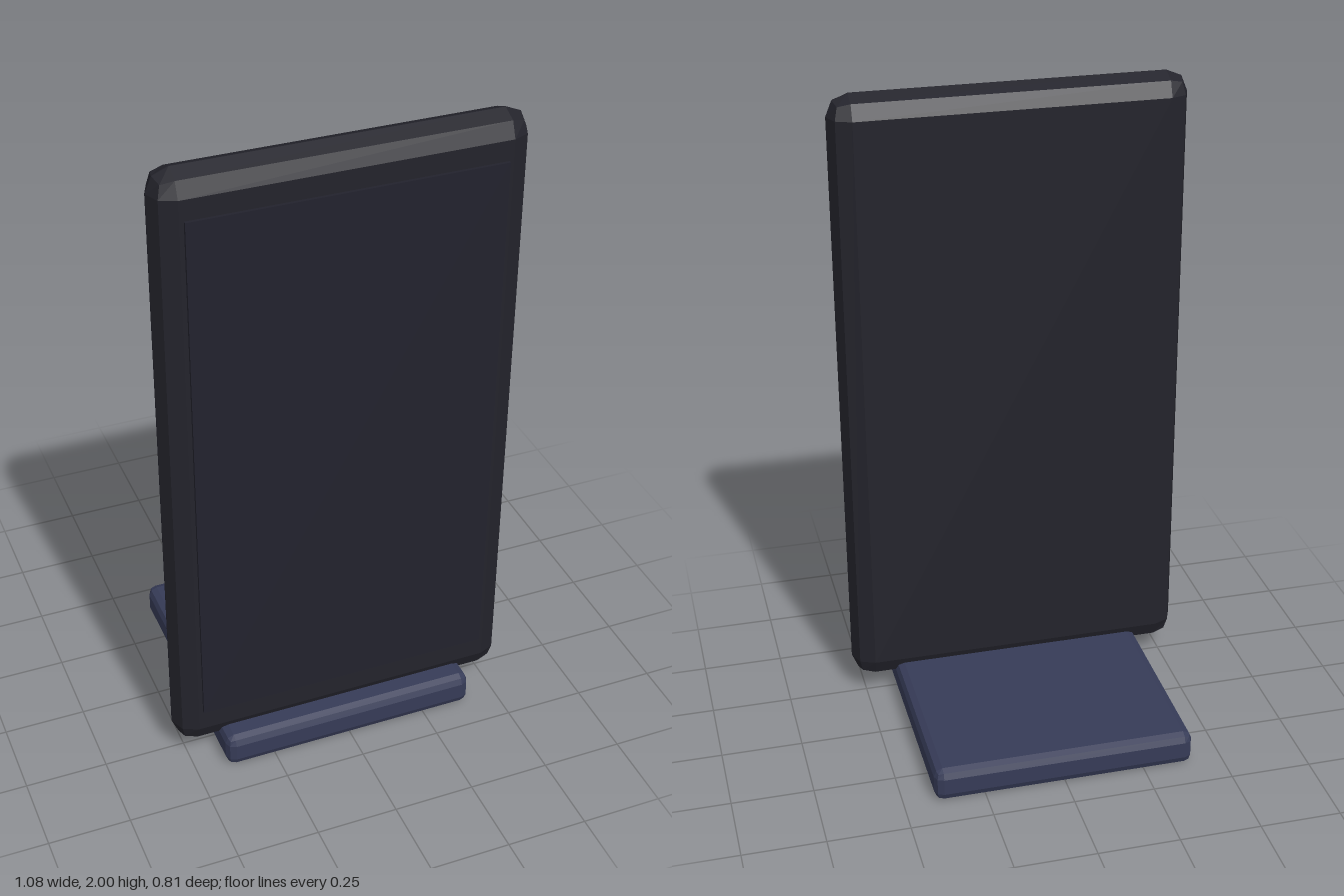
import * as THREE from 'three';
import { RoundedBoxGeometry } from 'three/addons/geometries/RoundedBoxGeometry.js';

const bodyDark = new THREE.MeshStandardMaterial({ color: 0x23232b });
bodyDark.name = 'charcoal body';
const screenDark = new THREE.MeshStandardMaterial({ color: 0x22222d });
screenDark.name = 'dark screen';
const slateBlue = new THREE.MeshStandardMaterial({ color: 0x363b57 });
slateBlue.name = 'slate blue stand';

// Box with a two-step, faceted bevel on every edge
function bevelledBox(width, height, depth, radius) {
  const rounded = new RoundedBoxGeometry(width, height, depth, 1, radius);
  const geometry = rounded.index ? rounded.toNonIndexed() : rounded;
  geometry.computeVertexNormals();
  return geometry;
}

function addPart(group, name, geometry, material, x, y, z) {
  const mesh = new THREE.Mesh(geometry, material);
  mesh.name = name;
  mesh.position.set(x, y, z);
  group.add(mesh);
}

export function createModel() {
  const model = new THREE.Group();
  model.name = 'displayOnStand';

  // Flat square foot
  addPart(model, 'standBase', bevelledBox(0.81, 0.106, 0.81, 0.027), slateBlue, 0, 0.053, 0);

  // Upright slab, sunk slightly into the foot near its front edge
  addPart(model, 'displayBody', bevelledBox(1.08, 1.94, 0.136, 0.0665), bodyDark, 0, 1.03, 0.27);

  // Thin screen plate on the front face
  addPart(model, 'screen', new THREE.BoxGeometry(0.92, 1.676, 0.0095), screenDark, 0, 1.034, 0.3425);

  return model;
}
